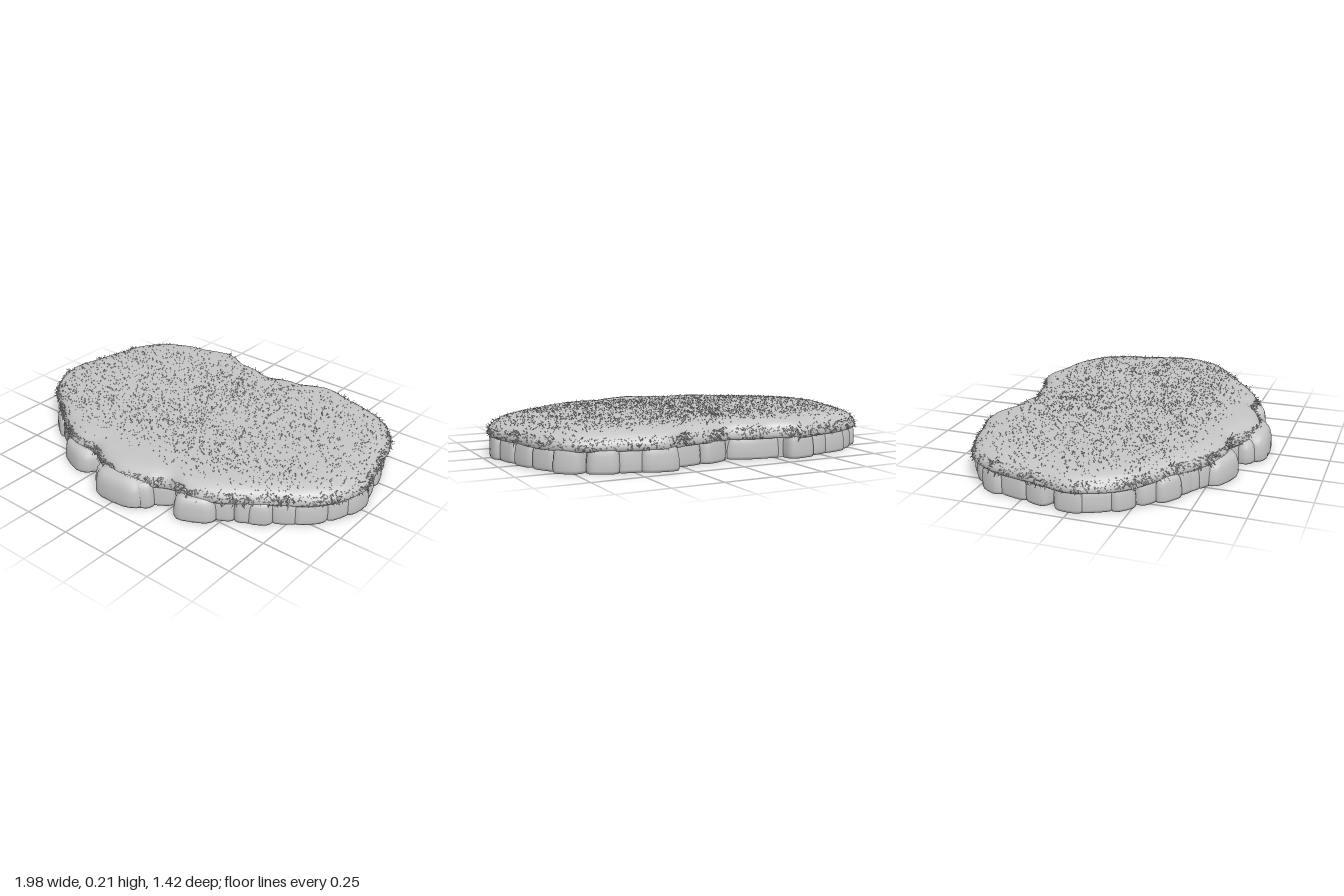
import * as THREE from 'three';

// Small seeded random generator
let seed = 7;
function rand(a = 0, b = 1) {
  seed = (seed * 16807) % 2147483647;
  return a + (b - a) * (seed / 2147483647);
}

// Outline of the turf (x, z), starting at the notch in the back
const half = [[0.13, -0.63], [0.22, -0.64], [0.36, -0.695], [0.5, -0.66], [0.65, -0.62],
  [0.78, -0.55], [0.87, -0.42], [0.91, -0.27], [0.945, -0.13], [0.97, 0], [0.93, 0.14],
  [0.85, 0.25], [0.74, 0.33], [0.6, 0.43], [0.48, 0.51], [0.36, 0.56], [0.25, 0.555], [0.14, 0.61]];
const outline = [[0, -0.595], ...half, [0, 0.65], ...half.map(([x, z]) => [-x, z]).reverse()];
const curve = new THREE.CatmullRomCurve3(outline.map(([x, z]) => new THREE.Vector3(x, 0, z)), true);
curve.arcLengthDivisions = 800;

// Turf profile: scale of the outline and height there, from the lip inwards
const profile = [[0.93, 0.095], [0.985, 0.098], [1, 0.112], [0.992, 0.135], [0.97, 0.157],
  [0.94, 0.173], [0.89, 0.184], [0.8, 0.19], [0.6, 0.193], [0.4, 0.194], [0.2, 0.194], [0, 0.194]];

function heightAt(s) {
  for (let i = 2; i < profile.length - 1; i++) {
    const [s0, y0] = profile[i], [s1, y1] = profile[i + 1];
    if (s <= s0 && s >= s1) return y0 + (y1 - y0) * (s0 - s) / (s0 - s1);
  }
  return 0.194;
}

function geometryFrom(positions, index) {
  const g = new THREE.BufferGeometry();
  g.setAttribute('position', new THREE.Float32BufferAttribute(positions, 3));
  if (index) g.setIndex(index);
  g.computeVertexNormals();
  return g;
}

// Domed sheet made of shrinking copies of the outline
function turfGeometry() {
  const n = 240, pos = [], idx = [];
  const pts = curve.getSpacedPoints(n).slice(0, n);
  profile.forEach(([s, y], r) => {
    pts.forEach((p, i) => {
      const x = p.x * s, z = p.z * s;
      const bump = r > 3 ? 0.0015 * Math.sin(x * 31 + z * 9) * Math.cos(z * 27 - x * 7) : 0;
      pos.push(x, y + bump, z);
      if (r === 0) return;
      const j = (i + 1) % n, a = (r - 1) * n, b = r * n;
      idx.push(a + i, b + i, a + j, a + j, b + i, b + j);
    });
  });
  return geometryFrom(pos, idx);
}

// Rounded, flat-bottomed boulder of unit size with a little unevenness
function stoneGeometry() {
  const n = 20, pos = [], idx = [];
  const rings = [[0, 0], [0.96, 0], [1, 0.1], [1, 0.3], [0.97, 0.55], [0.91, 0.75], [0.78, 0.91], [0.5, 0.99], [0, 1]];
  const phase = rand(0, 6), lean = rand(-0.06, 0.06);
  const soft = v => Math.sign(v) * Math.abs(v) ** 0.62;
  rings.forEach(([r, y], k) => {
    for (let i = 0; i < n; i++) {
      const a = i / n * Math.PI * 2;
      const q = r * (1 + 0.04 * Math.sin(3 * a + phase));
      pos.push(soft(Math.cos(a)) * q + lean * y, y, soft(Math.sin(a)) * q);
      if (k === 0) continue;
      const j = (i + 1) % n, lo = (k - 1) * n, hi = k * n;
      idx.push(lo + i, hi + i, lo + j, lo + j, hi + i, hi + j);
    }
  });
  return geometryFrom(pos, idx);
}

function addStone(group, material, x, z, angle, w, h, d) {
  const stone = new THREE.Mesh(stoneGeometry(), material);
  stone.name = 'stone';
  stone.scale.set(w / 2, h, d / 2);
  stone.rotation.y = angle;
  stone.position.set(x, 0, z);
  group.add(stone);
}

// One blade: a thin triangle from a base point to a tip
function addBlade(pos, base, dir, length, width) {
  const a = rand(0, Math.PI * 2);
  const side = new THREE.Vector3(Math.cos(a), 0, Math.sin(a)).multiplyScalar(width / 2);
  const l = base.clone().sub(side), r = base.clone().add(side);
  const tip = base.clone().addScaledVector(dir.normalize(), length);
  pos.push(...l.toArray(), ...r.toArray(), ...tip.toArray());
}

function outwardAt(t) {
  const tan = curve.getTangentAt(t);
  return new THREE.Vector3(tan.z, 0, -tan.x);
}

// Fringe of blades hanging over the lip
function fringeGeometry() {
  const pos = [];
  for (let i = 0; i < 3200; i++) {
    const t = rand(), p = curve.getPointAt(t), out = outwardAt(t);
    const s = rand(0.965, 1);
    const tuft = 0.7 + 0.3 * Math.sin(t * 150);
    const base = new THREE.Vector3(p.x * s, heightAt(s) - 0.004, p.z * s);
    const dir = out.clone().multiplyScalar(rand(0.3, 0.8));
    dir.x += rand(-0.5, 0.5);
    dir.z += rand(-0.5, 0.5);
    dir.y = rand(-0.9, 0.45);
    addBlade(pos, base, dir, rand(0.015, 0.036) * tuft, 0.009);
  }
  return geometryFrom(pos);
}

// Short blades scattered over the top, sparse near the front and back rims
function lawnGeometry() {
  const pos = [];
  for (let i = 0; i < 7500; i++) {
    const p = curve.getPointAt(rand()), s = Math.sqrt(rand()) * 0.96;
    const x = p.x * s, z = p.z * s;
    const bare = Math.max(0, z - 0.28) * 4 + Math.max(0, -0.42 - z) * 5;
    if (rand() < bare) continue;
    const dir = new THREE.Vector3(rand(-1, 1), rand(0.3, 0.8), rand(-1, 1));
    addBlade(pos, new THREE.Vector3(x, heightAt(s) - 0.002, z), dir, rand(0.008, 0.016), 0.006);
  }
  return geometryFrom(pos);
}

export function createModel() {
  seed = 7;
  const model = new THREE.Group();
  model.name = 'grassyPlatform';
  const grey = new THREE.MeshStandardMaterial({ color: 0xc4c4c4, side: THREE.DoubleSide });
  grey.name = 'plain grey';
  const add = (geometry, name) => {
    const mesh = new THREE.Mesh(geometry, grey);
    mesh.name = name;
    model.add(mesh);
  };

  // Solid core with a flat underside
  const shape = new THREE.Shape(curve.getSpacedPoints(120).map(p => new THREE.Vector2(p.x * 0.92, p.z * 0.92)));
  const core = new THREE.ExtrudeGeometry(shape, { depth: 0.11, bevelEnabled: false });
  core.rotateX(Math.PI / 2).translate(0, 0.11, 0);
  add(core, 'core');

  add(turfGeometry(), 'turf');
  add(fringeGeometry(), 'grassFringe');
  add(lawnGeometry(), 'lawn');

  // Row of stones around the edge
  const stones = new THREE.Group();
  stones.name = 'stones';
  model.add(stones);
  const count = 36;
  for (let i = 0; i < count; i++) {
    const t = (i + rand(0.3, 0.7)) / count, p = curve.getPointAt(t), out = outwardAt(t);
    const d = rand(0.13, 0.17), inset = d / 2 + rand(-0.005, 0.025);
    addStone(stones, grey, p.x - out.x * inset, p.z - out.z * inset,
      Math.atan2(out.x, out.z), rand(0.13, 0.19), rand(0.125, 0.145), d);
  }

  // Larger boulders that stick out at the front: x, z, angle, width, height, depth
  [[0, 0.58, 0, 0.3, 0.145, 0.24], [-0.09, 0.56, -0.4, 0.16, 0.12, 0.2], [0.09, 0.57, 0.4, 0.16, 0.135, 0.18],
    [-0.36, 0.5, -0.4, 0.25, 0.125, 0.19], [0.37, 0.51, 0.4, 0.21, 0.125, 0.16],
    [-0.65, 0.345, -0.6, 0.14, 0.12, 0.13], [-0.53, 0.4, -0.6, 0.13, 0.12, 0.13],
    [0.62, 0.35, 0.6, 0.14, 0.12, 0.13]].forEach(s => addStone(stones, grey, ...s));

  return model;
}
